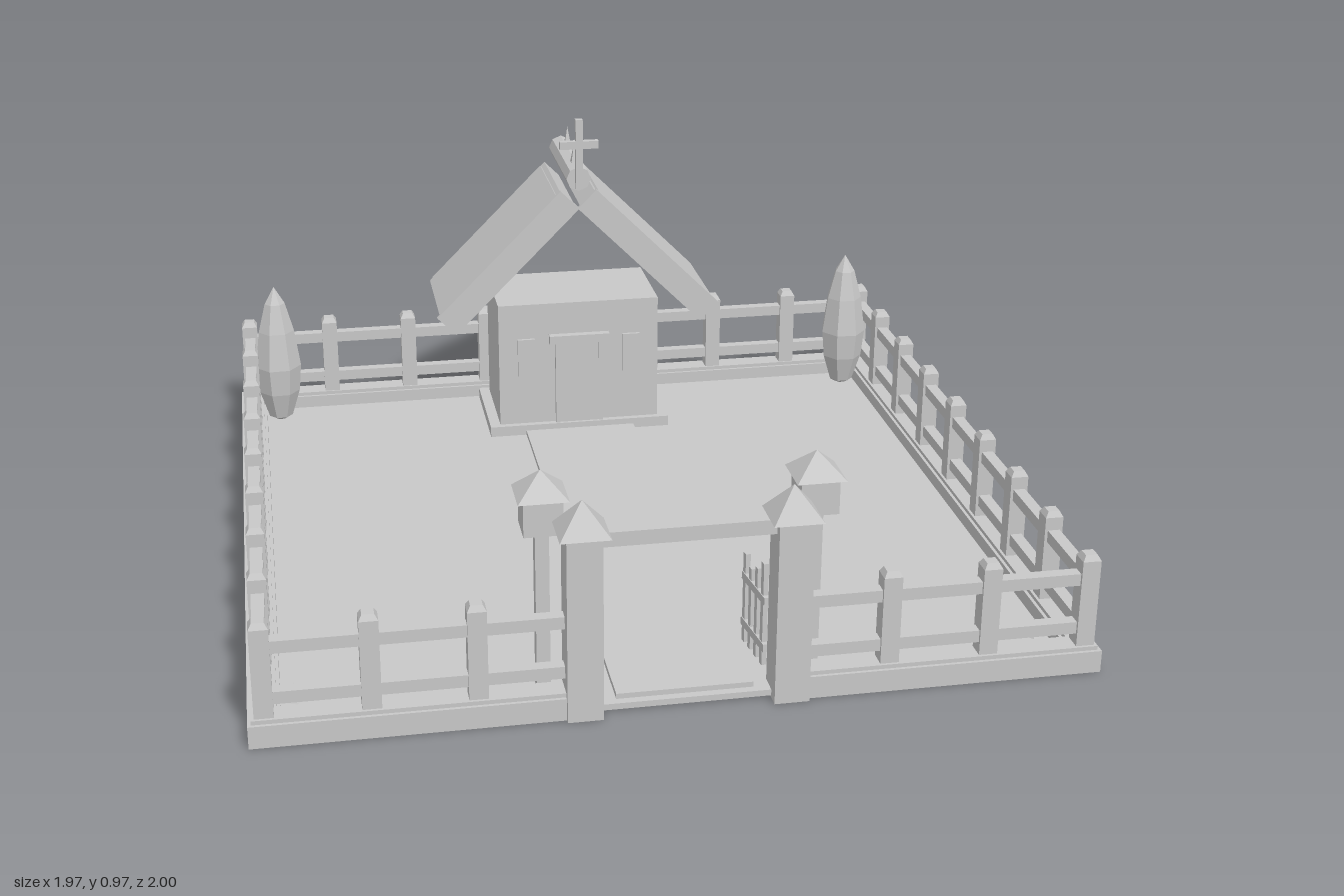
import * as THREE from 'three';

export function createModel() {
  const model = new THREE.Group();
  const stone = new THREE.MeshStandardMaterial({ color: 0xc8c8c8 });
  stone.name = 'paleGrey';
  const CZ = -0.015; // centre of the fenced yard in z
  const SPAN = 0.948; // fence line distance from the centre

  const add = (name, geo, parent = model) => {
    // every part is faceted
    const flat = geo.index ? geo.toNonIndexed() : geo;
    flat.computeVertexNormals();
    const mesh = new THREE.Mesh(flat, stone);
    mesh.name = name;
    parent.add(mesh);
    return mesh;
  };
  // box from minimum and maximum corners
  const box = (name, x0, x1, y0, y1, z0, z1, parent) => {
    const mesh = add(name, new THREE.BoxGeometry(x1 - x0, y1 - y0, z1 - z0), parent);
    mesh.position.set((x0 + x1) / 2, (y0 + y1) / 2, (z0 + z1) / 2);
    return mesh;
  };
  // square pyramid or frustum aligned with the axes
  const frustum = (name, x, z, y0, y1, half0, half1, parent) => {
    const geo = new THREE.CylinderGeometry(half1 * Math.SQRT2, half0 * Math.SQRT2, y1 - y0, 4);
    geo.rotateY(Math.PI / 4);
    const mesh = add(name, geo, parent);
    mesh.position.set(x, (y0 + y1) / 2, z);
    return mesh;
  };
  const group = (name) => {
    const g = new THREE.Group();
    g.name = name;
    model.add(g);
    return g;
  };

  // Yard floor and raised path
  box('ground', -0.94, 0.94, 0.005, 0.02, -0.96, 0.95);
  box('path', -0.16, 0.16, 0.02, 0.033, -0.62, 0.93);

  // Kerb with a gap at the gate
  const fence = group('fence');
  const zBack = CZ - SPAN, zFront = CZ + SPAN;
  const kerb = (x0, x1, z0, z1) => {
    box('kerb', x0, x1, 0, 0.055, z0, z1, fence);
    box('kerbTop', x0 + 0.008, x1 - 0.008, 0.055, 0.065, z0 + 0.008, z1 - 0.008, fence);
  };
  kerb(-0.985, 0.985, zBack - 0.037, zBack + 0.035);
  for (const s of [-1, 1]) {
    const x = s * SPAN;
    kerb(x - 0.037, x + 0.037, zBack - 0.037, zFront + 0.037);
    kerb(Math.min(s * 0.24, s * 0.985), Math.max(s * 0.24, s * 0.985), zFront - 0.035, zFront + 0.037);
  }

  // Posts and rails
  const post = (x, z) => {
    box('fencePost', x - 0.022, x + 0.022, 0.005, 0.283, z - 0.022, z + 0.022, fence);
    frustum('postCap', x, z, 0.283, 0.297, 0.022, 0.014, fence);
  };
  for (let i = 0; i < 9; i++) {
    const t = (i - 4) * SPAN / 4;
    post(t, zBack);
    if (Math.abs(i - 4) > 1) post(t, zFront);
    if (i > 0 && i < 8) for (const s of [-1, 1]) post(s * SPAN, CZ + t);
  }
  for (const y of [0.11, 0.235]) {
    const r = 0.015;
    box('backRail', -SPAN, SPAN, y - r, y + r, zBack - r, zBack + r, fence);
    for (const s of [-1, 1]) {
      box('sideRail', s * SPAN - r, s * SPAN + r, y - r, y + r, zBack, zFront, fence);
      const a = s * 0.24, b = s * SPAN;
      box('frontRail', Math.min(a, b), Math.max(a, b), y - r, y + r, zFront - r, zFront + r, fence);
    }
  }

  // Gateway: pillars, beam, lantern posts and open leaves
  const gate = group('gateway');
  box('gateBeam', -0.2, 0.2, 0.42, 0.455, 0.93, 0.96, gate);
  for (const s of [-1, 1]) {
    const px = s * 0.238, lx = s * 0.315, lz = 0.84;
    box('gatePillar', px - 0.041, px + 0.041, 0, 0.455, 0.9, 0.982, gate);
    frustum('pillarCap', px, 0.941, 0.455, 0.53, 0.058, 0, gate);
    box('lanternPost', lx - 0.016, lx + 0.016, 0.005, 0.42, lz - 0.016, lz + 0.016, gate);
    box('lantern', lx - 0.045, lx + 0.045, 0.42, 0.505, lz - 0.045, lz + 0.045, gate);
    frustum('lanternRoof', lx, lz, 0.505, 0.563, 0.058, 0, gate);

    const leaf = new THREE.Group();
    leaf.name = 'gateLeaf';
    leaf.position.set(s * 0.195, 0, 0.9);
    leaf.rotation.y = s * 0.13;
    gate.add(leaf);
    [0.31, 0.28, 0.26, 0.28].forEach((top, i) => {
      const z = -0.02 - i * 0.038;
      box('gatePicket', -0.006, 0.006, 0.05, top, z - 0.008, z + 0.008, leaf);
    });
    for (const y of [0.1, 0.22]) box('gateRail', -0.008, 0.008, y - 0.01, y + 0.01, -0.145, 0, leaf);
  }

  // House body, step, door and windows
  const house = group('house');
  box('step', -0.265, 0.265, 0.002, 0.05, -0.92, -0.604, house);
  box('walls', -0.235, 0.235, 0.05, 0.42, -0.9, -0.622, house);
  box('door', -0.07, 0.07, 0.05, 0.3, -0.622, -0.613, house);
  box('doorStrip', 0.058, 0.07, 0.05, 0.3, -0.613, -0.609, house);
  box('doorStrip', -0.07, -0.058, 0.05, 0.3, -0.613, -0.609, house);
  box('lintel', -0.088, 0.088, 0.3, 0.325, -0.622, -0.6, house);
  for (const s of [-1, 1]) {
    box('window', s * 0.155 - 0.025, s * 0.155 + 0.025, 0.2, 0.315, -0.622, -0.613, house);
  }

  // Steep roof slabs with front boards
  for (const s of [-1, 1]) {
    const side = new THREE.Group();
    side.name = 'roofSide';
    side.position.set(s * 0.205, 0.555, 0);
    side.rotation.z = -s * Math.PI / 4;
    house.add(side);
    box('roofSlab', -0.25, 0.25, -0.03, 0.03, -0.945, -0.615, side);
    box('roofPanel', -0.235, 0.235, 0.03, 0.036, -0.932, -0.615, side);
    box('gableBoard', -0.255, 0.255, -0.038, 0.038, -0.615, -0.602, side);
  }

  // Ridge log, spikes and finial
  const log = new THREE.CylinderGeometry(0.035, 0.035, 0.345, 8);
  log.rotateX(Math.PI / 2);
  add('ridgeLog', log, house).position.set(0, 0.797, -0.7725);
  for (const z of [-0.67, -0.81]) frustum('ridgeSpike', 0, z, 0.825, 0.895, 0.012, 0, house);
  box('finialUpright', -0.01, 0.01, 0.77, 0.972, -0.602, -0.584, house);
  box('finialArm', -0.055, 0.055, 0.888, 0.91, -0.602, -0.584, house);

  // Cypress trees in the back corners, stones in the front ones
  const outline = [[0, 0.01], [0.035, 0.03], [0.06, 0.11], [0.068, 0.19], [0.053, 0.3], [0.03, 0.385], [0, 0.435]]
    .map(([r, y]) => new THREE.Vector2(r, y));
  for (const s of [-1, 1]) {
    const tree = add('cypress', new THREE.LatheGeometry(outline, 7));
    tree.position.set(s * 0.87, 0, -0.865);
    tree.rotation.y = s * 0.4;
    const rock = add('cornerStone', new THREE.ConeGeometry(0.036, 0.06, 5));
    rock.position.set(s * 0.88, 0.033, 0.805);
    rock.rotation.y = s;
  }
  return model;
}
